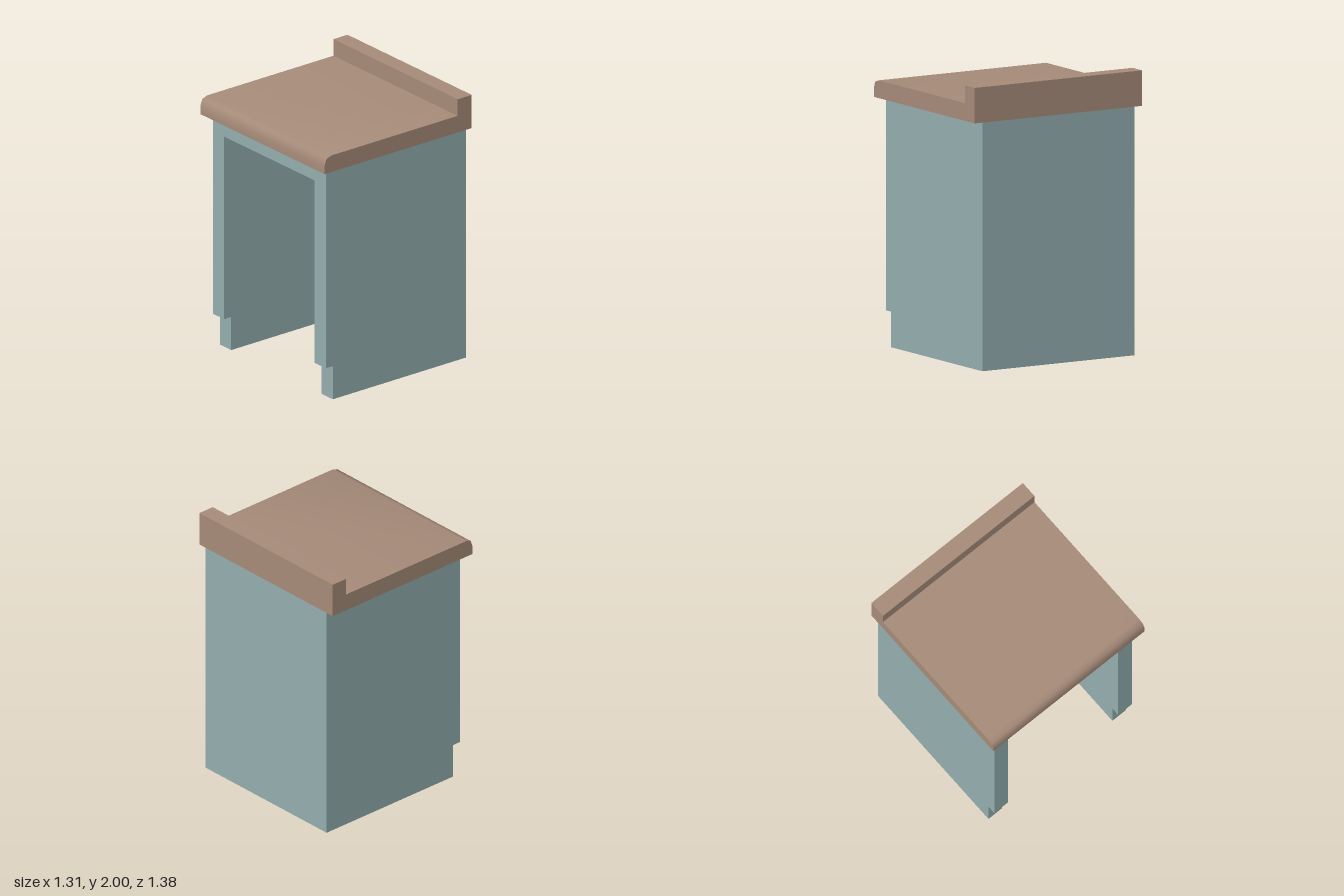
import * as THREE from 'three';
import { toCreasedNormals } from 'three/addons/utils/BufferGeometryUtils.js';

const FRONT = -0.594, BACK = 0.656, TOP = 1.75, HALF = 0.625;
const PANEL = 0.125, BACK_DEPTH = 0.25, OVERHANG = 0.0625;

// Extrudes an x-y profile along z, centred on the given z
function extrudeProfile(points, width, z) {
  const shape = new THREE.Shape(points.map(([x, y]) => new THREE.Vector2(x, y)));
  const geometry = new THREE.ExtrudeGeometry(shape, { depth: width, bevelEnabled: false });
  return geometry.translate(0, 0, z - width / 2);
}

export function createModel() {
  const wood = new THREE.MeshStandardMaterial({ color: 0xa58a78 });
  wood.name = 'brown worktop';
  const paint = new THREE.MeshStandardMaterial({ color: 0x92acad });
  paint.name = 'blue grey cabinet';

  const group = new THREE.Group();
  group.name = 'counterCabinet';
  const add = (name, geometry, material) => {
    const mesh = new THREE.Mesh(geometry, material);
    mesh.name = name;
    group.add(mesh);
  };
  const addBox = (name, x0, x1, y0, y1, width) => {
    const geometry = new THREE.BoxGeometry(x1 - x0, y1 - y0, width);
    geometry.translate((x0 + x1) / 2, (y0 + y1) / 2, 0);
    add(name, geometry, paint);
  };

  // Side panels with a toe-kick notch
  const sideProfile = [
    [-0.531, 0], [BACK, 0], [BACK, TOP], [FRONT, TOP], [FRONT, 0.25], [-0.531, 0.25],
  ];
  for (const side of [-1, 1]) {
    add(side > 0 ? 'sidePanelNear' : 'sidePanelFar',
      extrudeProfile(sideProfile, PANEL, side * (HALF - PANEL / 2)), paint);
  }

  // Thick back and top panel between the sides, leaving the opening free
  const inner = 2 * (HALF - PANEL);
  addBox('backPanel', BACK - BACK_DEPTH, BACK, 0, TOP, inner);
  addBox('topPanel', FRONT, BACK - BACK_DEPTH, TOP - PANEL, TOP, inner);

  // Worktop with rounded nose and raised rear splashback
  const worktopProfile = [
    [-0.656, TOP], [BACK, TOP], [BACK, 2], [0.531, 2], [0.531, 1.875],
    [-0.594, 1.875], [-0.638, 1.86], [-0.656, 1.81],
  ];
  const worktop = extrudeProfile(worktopProfile, 2 * (HALF + OVERHANG), 0);
  add('worktop', toCreasedNormals(worktop, 0.95), wood);

  return group;
}
